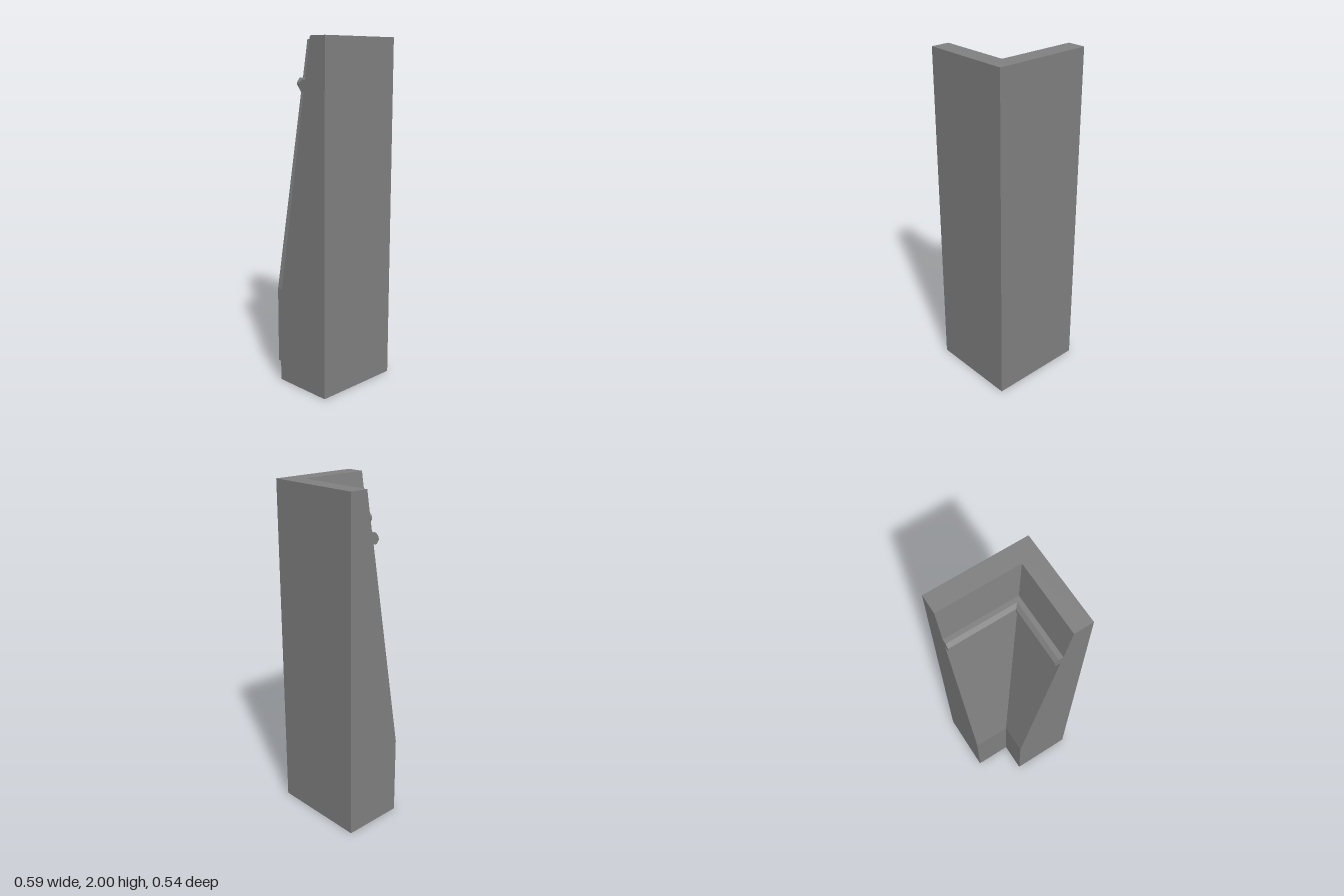
import * as THREE from 'three';

// Outer corner of the two wings, and their free ends
const CORNER_X = 0.295, CORNER_Z = -0.271;
const END_X = -0.295, END_Z = 0.271;

// Wall section: thickness from the outer face, height
const PROFILE = [
  [0, 0], [0.37, 0], [0.37, 0.48],                      // plinth
  [0.16, 1.711],                                        // sloping inner face
  [0.182, 1.711], [0.198, 1.732], [0.195, 1.75], [0.175, 1.773], // moulded bead
  [0.148, 1.773], [0.11, 2], [0, 2],                    // upper wall
];

// Sweep a section along the L (side wing end, mitred corner, back wing end),
// leaving the underside open
function sweepCorner(points) {
  const shape = new THREE.Shape(points.map(([d, y]) => new THREE.Vector2(d, y)));
  const swept = new THREE.ExtrudeGeometry(shape, { depth: 2, steps: 2, bevelEnabled: false });
  const pos = swept.attributes.position;
  const corners = [];
  for (let i = 0; i < pos.count; i += 3) {
    const triangle = [i, i + 1, i + 2];
    if (triangle.every((k) => pos.getY(k) < 0.001)) continue;
    for (const k of triangle) {
      const d = pos.getX(k), step = Math.round(pos.getZ(k));
      const x = step === 2 ? END_X : CORNER_X - d;
      const z = step === 0 ? END_Z : CORNER_Z + d;
      corners.push(new THREE.Vector3(x, pos.getY(k), z));
    }
  }
  const geometry = new THREE.BufferGeometry().setFromPoints(corners);
  geometry.computeVertexNormals();
  return geometry;
}

export function createModel() {
  const group = new THREE.Group();
  group.name = 'wallCorner';
  const material = new THREE.MeshStandardMaterial({
    color: 0x808080, flatShading: true, side: THREE.DoubleSide,
  });
  const wall = new THREE.Mesh(sweepCorner(PROFILE), material);
  wall.name = 'cornerWallWithBead';
  group.add(wall);
  return group;
}
